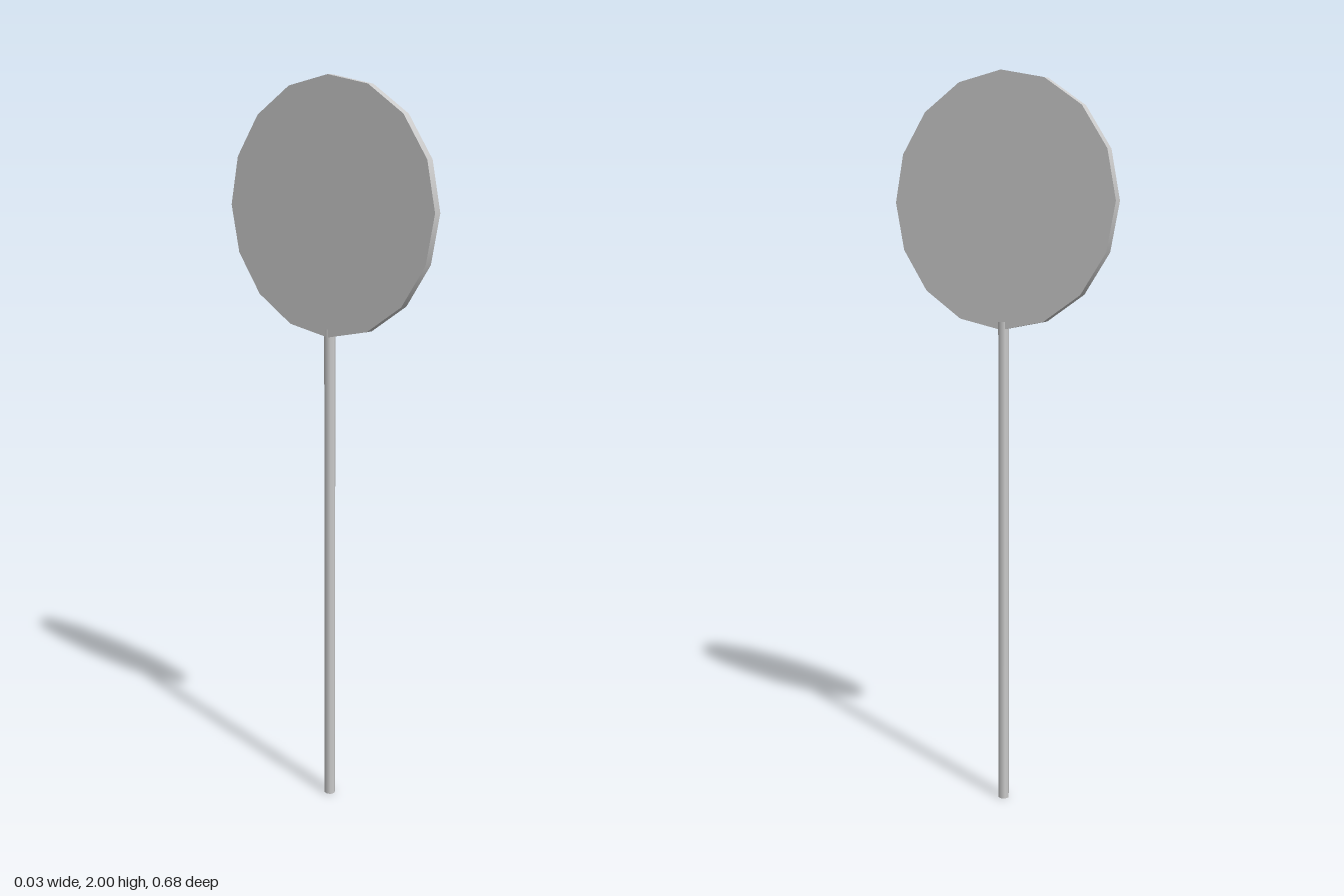
import * as THREE from 'three';

export function createModel() {
  const model = new THREE.Group();
  const grey = new THREE.MeshStandardMaterial({ color: 0xcccccc });

  // Upright pole, its top tucked into the disc's lower edge
  const poleHeight = 1.345;
  const pole = new THREE.Mesh(new THREE.CylinderGeometry(0.015, 0.015, poleHeight, 8), grey);
  pole.name = 'pole';
  pole.position.set(0, poleHeight / 2, -0.003);
  model.add(pole);

  // Sixteen-sided disc with its flat faces towards -x and +x
  const radius = 0.338;
  const disc = new THREE.Mesh(new THREE.CylinderGeometry(radius, radius, 0.023, 16), grey);
  disc.name = 'disc';
  disc.rotation.z = Math.PI / 2;
  disc.position.set(-0.0015, 2 - radius, 0);
  model.add(disc);

  return model;
}
